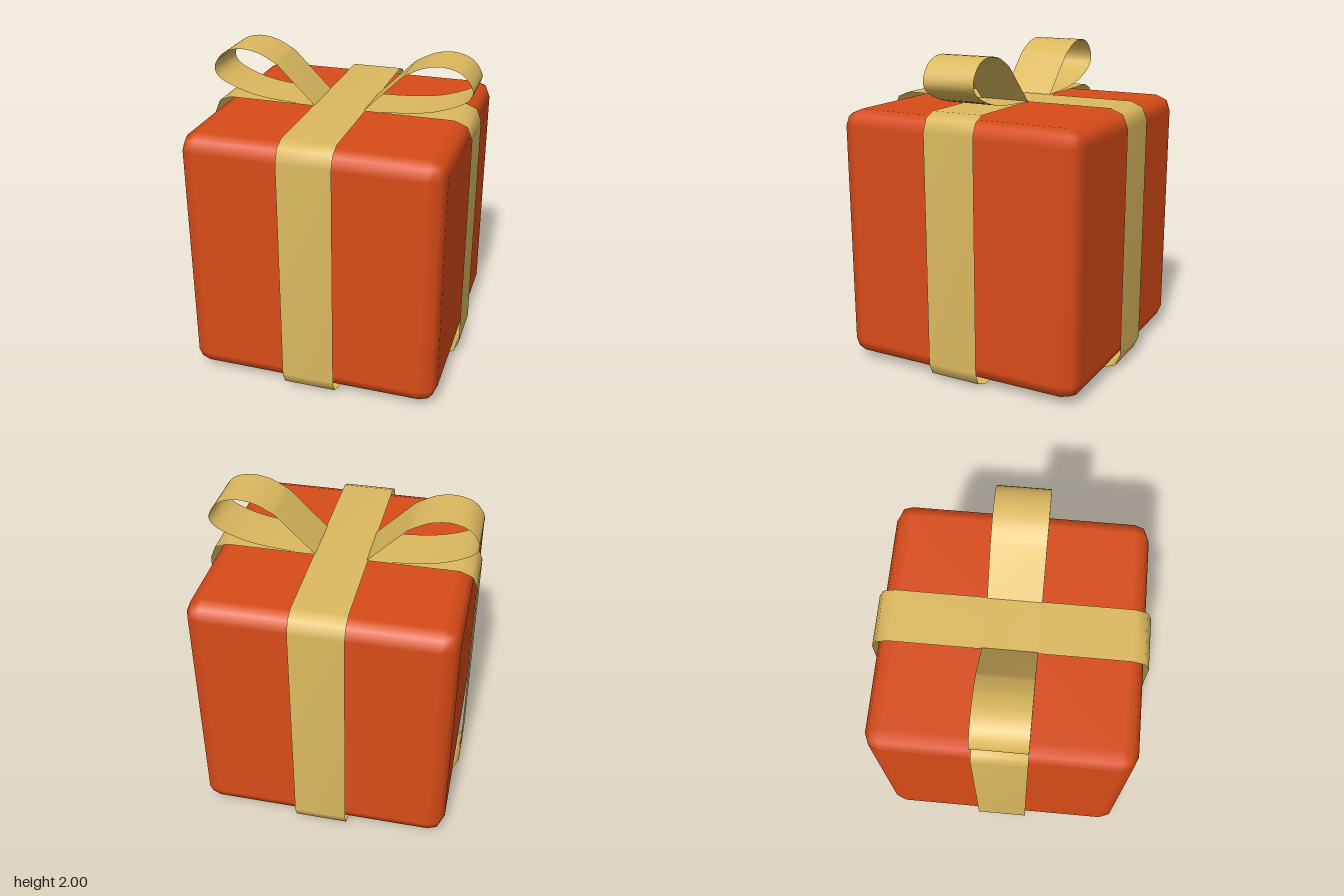
import * as THREE from 'three';
import { RoundedBoxGeometry } from 'three/addons/geometries/RoundedBoxGeometry.js';

const RIBBON_HALF_WIDTH = 0.167;

// Flat strip: a counter-clockwise xy path swept across the ribbon width in z
function stripGeometry(path, closed) {
  const positions = [], index = [];
  const n = path.length;
  for (const p of path) {
    positions.push(p.x, p.y, -RIBBON_HALF_WIDTH, p.x, p.y, RIBBON_HALF_WIDTH);
  }
  for (let i = 0; i < (closed ? n : n - 1); i++) {
    const a = i * 2, b = a + 1, c = ((i + 1) % n) * 2, d = c + 1;
    index.push(a, c, b, b, c, d);
  }
  const g = new THREE.BufferGeometry();
  g.setAttribute('position', new THREE.Float32BufferAttribute(positions, 3));
  g.setIndex(index);
  g.computeVertexNormals();
  return g;
}

// Rectangle outline with bevelled corners
function bandPath(halfWidth, height, r, segments) {
  const pts = [];
  const corners = [[1, 0], [1, 1], [-1, 1], [-1, 0]];
  corners.forEach(([sx, top], k) => {
    const cx = sx * (halfWidth - r), cy = top ? height - r : r;
    for (let i = 0; i <= segments; i++) {
      const t = (k - 1 + i / segments) * Math.PI / 2;
      pts.push(new THREE.Vector2(cx + r * Math.cos(t), cy + r * Math.sin(t)));
    }
  });
  return pts;
}

export function createModel() {
  const model = new THREE.Group();
  const red = new THREE.MeshStandardMaterial({ color: 0xd84b18 });
  const gold = new THREE.MeshStandardMaterial({ color: 0xdcb95f, side: THREE.DoubleSide });

  const add = (name, geometry, material, turn = 0) => {
    const mesh = new THREE.Mesh(geometry, material);
    mesh.name = name;
    mesh.rotation.y = turn;
    model.add(mesh);
    return mesh;
  };

  // Box with softly bevelled edges
  add('box', new RoundedBoxGeometry(1.605, 1.61, 1.605, 1, 0.1), red).position.y = 0.84;

  // Two crossing ribbon bands standing just off the box
  const band = stripGeometry(bandPath(0.835, 1.678, 0.11, 2), true);
  add('sideRibbon', band, gold);
  add('frontRibbon', band, gold, Math.PI / 2);

  // Bow loop: low strand outwards, round the tip, over the crest and straight back down
  const curve = new THREE.SplineCurve([
    [0.15, 1.68], [0.4, 1.69], [0.6, 1.72], [0.77, 1.785], [0.823, 1.85],
    [0.8, 1.92], [0.74, 1.975], [0.64, 2.0], [0.52, 1.982], [0.4, 1.92],
  ].map(([x, y]) => new THREE.Vector2(x, y)));
  const loopPath = [...curve.getPoints(27), new THREE.Vector2(0.15, 1.67)];
  const loop = stripGeometry(loopPath, false);
  add('leftBowLoop', loop, gold);
  add('rightBowLoop', loop, gold, Math.PI);

  return model;
}
